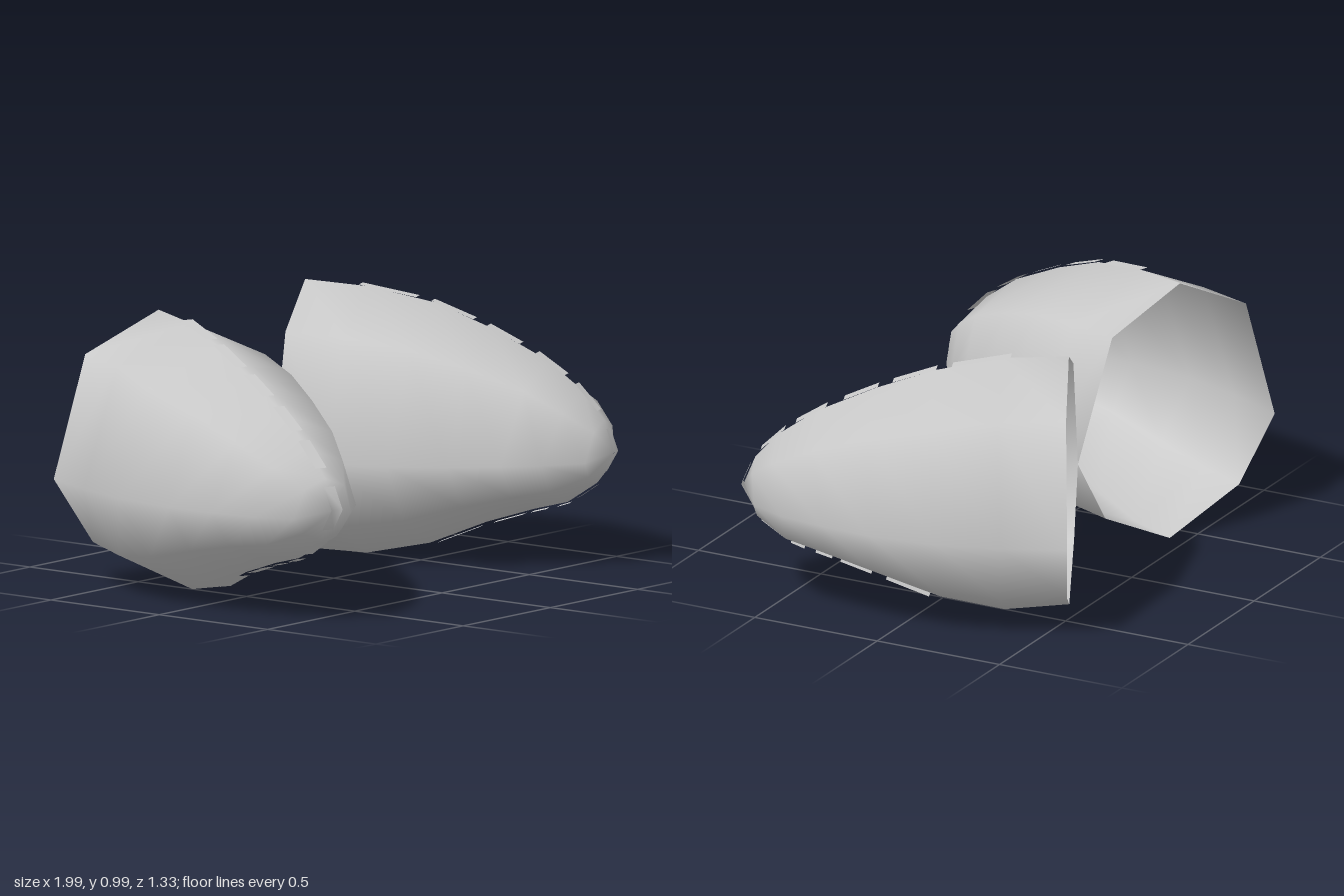
import * as THREE from 'three';

const material = new THREE.MeshStandardMaterial({ color: 0xcccccc, side: THREE.DoubleSide });

// Cup stations from open rim to nose: inner [x,z], outer [x,z], top and bottom [x,y,z]
const stations = [
  { inner: [0, -0.28], outer: [0.785, -0.66], top: [0.42, 0.99, -0.47], bottom: [0.38, 0.02, -0.45] },
  { inner: [0.07, -0.09], outer: [0.885, -0.44], top: [0.51, 0.975, -0.25], bottom: [0.50, 0.005, -0.25] },
  { inner: [0.165, 0.11], outer: [0.96, -0.22], top: [0.62, 0.925, -0.03], bottom: [0.60, 0.05, -0.04] },
  { inner: [0.29, 0.29], outer: [0.995, 0.04], top: [0.69, 0.845, 0.17], bottom: [0.69, 0.135, 0.15] },
  { inner: [0.42, 0.43], outer: [0.99, 0.23], top: [0.755, 0.74, 0.38], bottom: [0.74, 0.195, 0.33] },
  { inner: [0.53, 0.53], outer: [0.97, 0.41], top: [0.79, 0.635, 0.52], bottom: [0.77, 0.23, 0.46] },
  { inner: [0.67, 0.62], outer: [0.915, 0.55], top: [0.80, 0.54, 0.605], bottom: [0.79, 0.31, 0.58] },
];
const tip = new THREE.Vector3(0.8, 0.43, 0.652);
const SIDES = 8;

// Eight-sided ring: inner, top, outer, bottom, with a blended corner between each pair
function ringPoints({ inner, outer, top, bottom }) {
  const a = new THREE.Vector3(inner[0], 0.4, inner[1]);
  const b = new THREE.Vector3(outer[0], 0.4, outer[1]);
  const t = new THREE.Vector3(...top), d = new THREE.Vector3(...bottom);
  const c = a.clone().add(b).multiplyScalar(0.5);
  const corner = (side, cap, k) => c.clone()
    .addScaledVector(side.clone().sub(c), 0.68)
    .addScaledVector(cap.clone().sub(c), k);
  return [a, corner(a, t, 0.76), t, corner(b, t, 0.76), b, corner(b, d, 0.63), d, corner(a, d, 0.63)];
}

function cupGeometry() {
  const points = stations.flatMap(ringPoints);
  const index = [];
  const last = stations.length - 1;
  const nose = points.push(tip) - 1;
  for (let i = 0; i <= last; i++) {
    for (let j = 0; j < SIDES; j++) {
      const a = i * SIDES + j, b = i * SIDES + (j + 1) % SIDES;
      if (i === last) index.push(a, nose, b);
      else index.push(a, a + SIDES, b, b, a + SIDES, b + SIDES);
    }
  }
  const geometry = new THREE.BufferGeometry().setFromPoints(points);
  geometry.setIndex(index);
  geometry.computeVertexNormals();
  return geometry;
}

// Point on the centre seam at depth z, raised a little off the cup
function seamPoint(edge, z) {
  const path = [...stations.map((s) => new THREE.Vector3(...s[edge])), tip];
  let i = 0;
  while (i < path.length - 2 && path[i + 1].z < z) i++;
  const f = (z - path[i].z) / (path[i + 1].z - path[i].z);
  const p = path[i].clone().lerp(path[i + 1], f);
  const out = new THREE.Vector3(0, edge === 'top' ? 1 : -1, 0.5).normalize();
  return p.addScaledVector(out, 0.008);
}

// Thin strip following a few points
function stitchGeometry(path) {
  const half = new THREE.Vector3(0.9, 0, -0.35).multiplyScalar(0.024);
  const points = path.flatMap((p) => [p.clone().sub(half), p.clone().add(half)]);
  const index = [];
  for (let i = 0; i < path.length - 1; i++) {
    const k = i * 2;
    index.push(k, k + 2, k + 1, k + 1, k + 2, k + 3);
  }
  const geometry = new THREE.BufferGeometry().setFromPoints(points);
  geometry.setIndex(index);
  geometry.computeVertexNormals();
  return geometry;
}

function createCup(side) {
  const cup = new THREE.Group();
  cup.name = side + 'Cup';
  const add = (geometry, name) => {
    const mesh = new THREE.Mesh(geometry, material);
    mesh.name = name;
    cup.add(mesh);
  };
  add(cupGeometry(), 'cupShell');

  // Dashed seam over the top, around the nose and back underneath
  const dashes = {
    top: [[-0.28, -0.09], [-0.04, 0.11], [0.16, 0.28], [0.34, 0.45], [0.49, 0.58]],
    bottom: [[-0.01, 0.13], [0.18, 0.29], [0.32, 0.38], [0.42, 0.47], [0.50, 0.58]],
  };
  for (const edge of ['top', 'bottom']) {
    for (const [z0, z1] of dashes[edge]) {
      const path = [seamPoint(edge, z0), seamPoint(edge, z1)];
      if (edge === 'bottom') path.reverse();
      add(stitchGeometry(path), edge + 'Stitch');
    }
  }
  const front = tip.clone();
  front.z += 0.008;
  add(stitchGeometry([seamPoint('top', 0.62), front, seamPoint('bottom', 0.61)]), 'noseStitch');
  return cup;
}

export function createModel() {
  const model = new THREE.Group();
  model.name = 'pairOfCups';
  const left = createCup('left');
  const right = createCup('right');
  right.scale.x = -1;
  model.add(left, right);
  return model;
}
